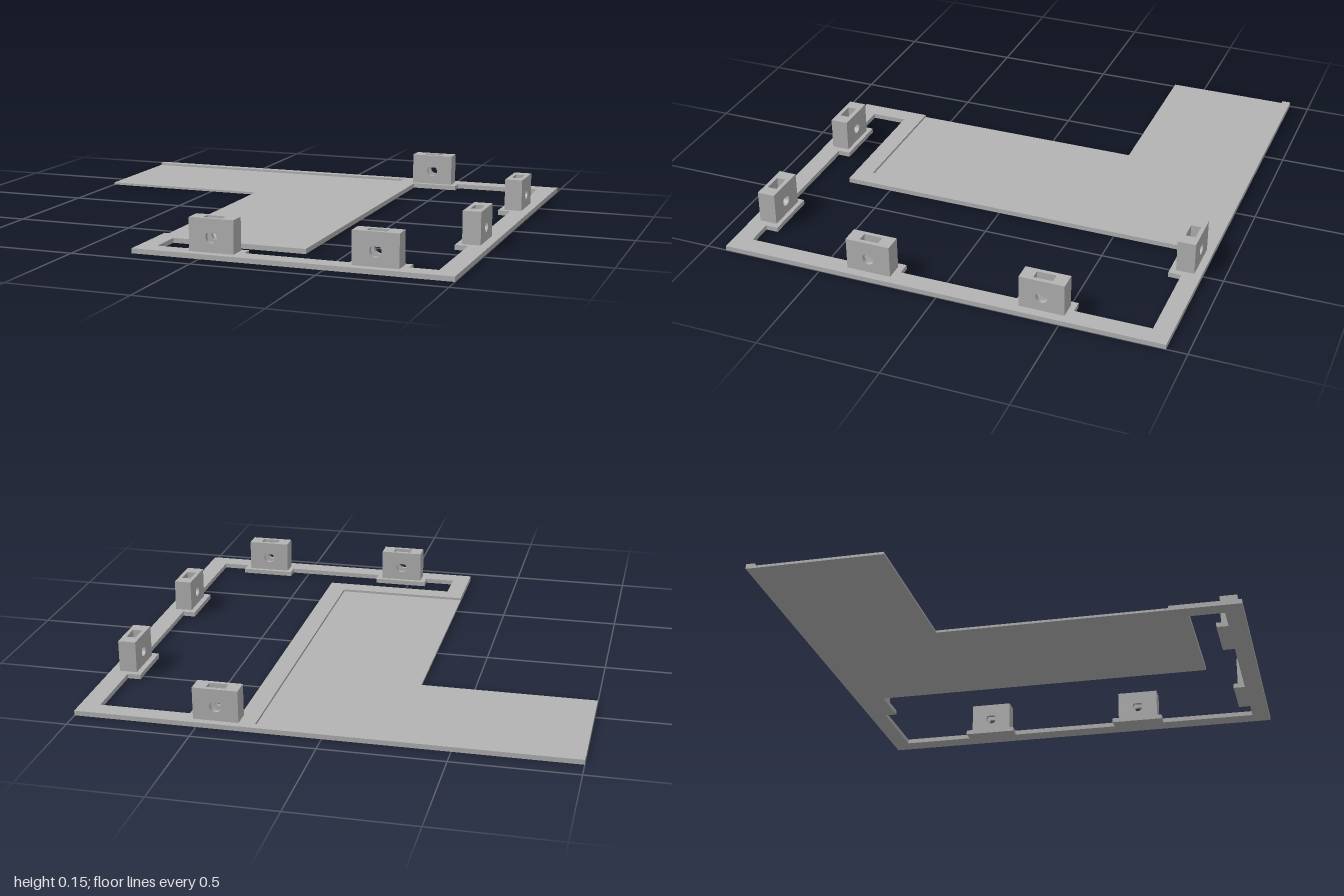
import * as THREE from 'three';

const BASE_TOP = 0.02, FLOOR_TOP = 0.01, BLOCK_TOP = 0.153;
const BLOCK_W = 0.184, BLOCK_D = 0.074, SLOT_D = 0.04;
const HOLE_Y = 0.08, HOLE_R = 0.0235;

const points = (list) => list.map(([x, y]) => new THREE.Vector2(x, y));

// Opening inside the frame, with a pad notch beside every block
const opening = [
  [0.35, -0.789], [0.548, -0.789], [0.548, -0.842], [0.92, -0.842],
  [0.92, -0.532], [0.866, -0.532], [0.866, -0.302], [0.92, -0.302],
  [0.92, 0.184], [0.866, 0.184], [0.866, 0.418], [0.92, 0.418],
  [0.92, 0.84], [0.808, 0.84], [0.808, 0.789], [0.577, 0.789],
  [0.577, 0.84], [0.155, 0.84], [0.155, 0.789], [-0.08, 0.789],
  [-0.08, 0.84], [-0.208, 0.84], [-0.208, 0.692], [0.35, 0.692],
];

// Extrude a plan drawn in x and z between two heights
function slab(outline, bottom, top) {
  const shape = new THREE.Shape(points(outline));
  shape.holes.push(new THREE.Path(points(opening)));
  const geo = new THREE.ExtrudeGeometry(shape, { depth: top - bottom, bevelEnabled: false });
  return geo.rotateX(Math.PI / 2).translate(0, top, 0);
}

// Block wall with a teardrop bore
function wallShape() {
  const h = BLOCK_W / 2;
  const shape = new THREE.Shape(points([
    [-h, BASE_TOP], [h, BASE_TOP], [h, BLOCK_TOP], [-h, BLOCK_TOP],
  ]));
  const bore = new THREE.Path();
  bore.moveTo(0, HOLE_Y + HOLE_R * Math.SQRT2);
  bore.absarc(0, HOLE_Y, HOLE_R, Math.PI * 0.75, Math.PI * 2.25, false);
  bore.closePath();
  shape.holes.push(bore);
  return shape;
}

// Middle of the block: a nut pocket with a pointed floor, open at the top
function pocketShape() {
  const h = BLOCK_W / 2, s = 0.039, r = s / Math.cos(Math.PI / 6);
  return new THREE.Shape(points([
    [-h, BASE_TOP], [h, BASE_TOP], [h, BLOCK_TOP], [s, BLOCK_TOP],
    [s, HOLE_Y - r / 2], [0, HOLE_Y - r], [-s, HOLE_Y - r / 2],
    [-s, BLOCK_TOP], [-h, BLOCK_TOP],
  ]));
}

export function createModel() {
  const model = new THREE.Group();
  model.name = 'mountingFrame';
  const grey = new THREE.MeshStandardMaterial({ color: 0xb3b3b3 });
  grey.name = 'grey';

  const add = (parent, name, geo) => {
    const mesh = new THREE.Mesh(geo, grey);
    mesh.name = name;
    parent.add(mesh);
  };

  // Thin floor under everything, then the raised rim around the recess
  add(model, 'basePlate', slab([
    [-1, -0.917], [1, -0.917], [1, 0.917], [-0.282, 0.917],
    [-0.282, -0.361], [-1, -0.361],
  ], 0, FLOOR_TOP));
  add(model, 'raisedRim', slab([
    [-1, -0.917], [1, -0.917], [1, 0.917], [-0.282, 0.917],
    [-0.282, 0.617], [0.272, 0.617], [0.272, -0.88], [-1, -0.88],
  ], FLOOR_TOP, BASE_TOP));

  // Screw blocks, sliced along their depth: wall, pocket, wall
  const wallD = (BLOCK_D - SLOT_D) / 2;
  const slice = (shape, depth, z) => new THREE.ExtrudeGeometry(shape, {
    depth, bevelEnabled: false, curveSegments: 24,
  }).translate(0, 0, z);
  const slices = {
    backWall: slice(wallShape(), wallD, -BLOCK_D / 2),
    nutPocket: slice(pocketShape(), SLOT_D, -SLOT_D / 2),
    frontWall: slice(wallShape(), wallD, SLOT_D / 2),
  };
  const blocks = [
    [0.036, 0.844, 0], [0.69, 0.844, 0], [0.429, -0.85, 0],
    [0.926, -0.417, Math.PI / 2], [0.926, 0.302, Math.PI / 2],
  ];
  for (const [x, z, turn] of blocks) {
    const block = new THREE.Group();
    block.name = 'screwBlock';
    for (const [name, geo] of Object.entries(slices)) add(block, name, geo);
    block.position.set(x, 0, z);
    block.rotation.y = turn;
    model.add(block);
  }
  return model;
}
